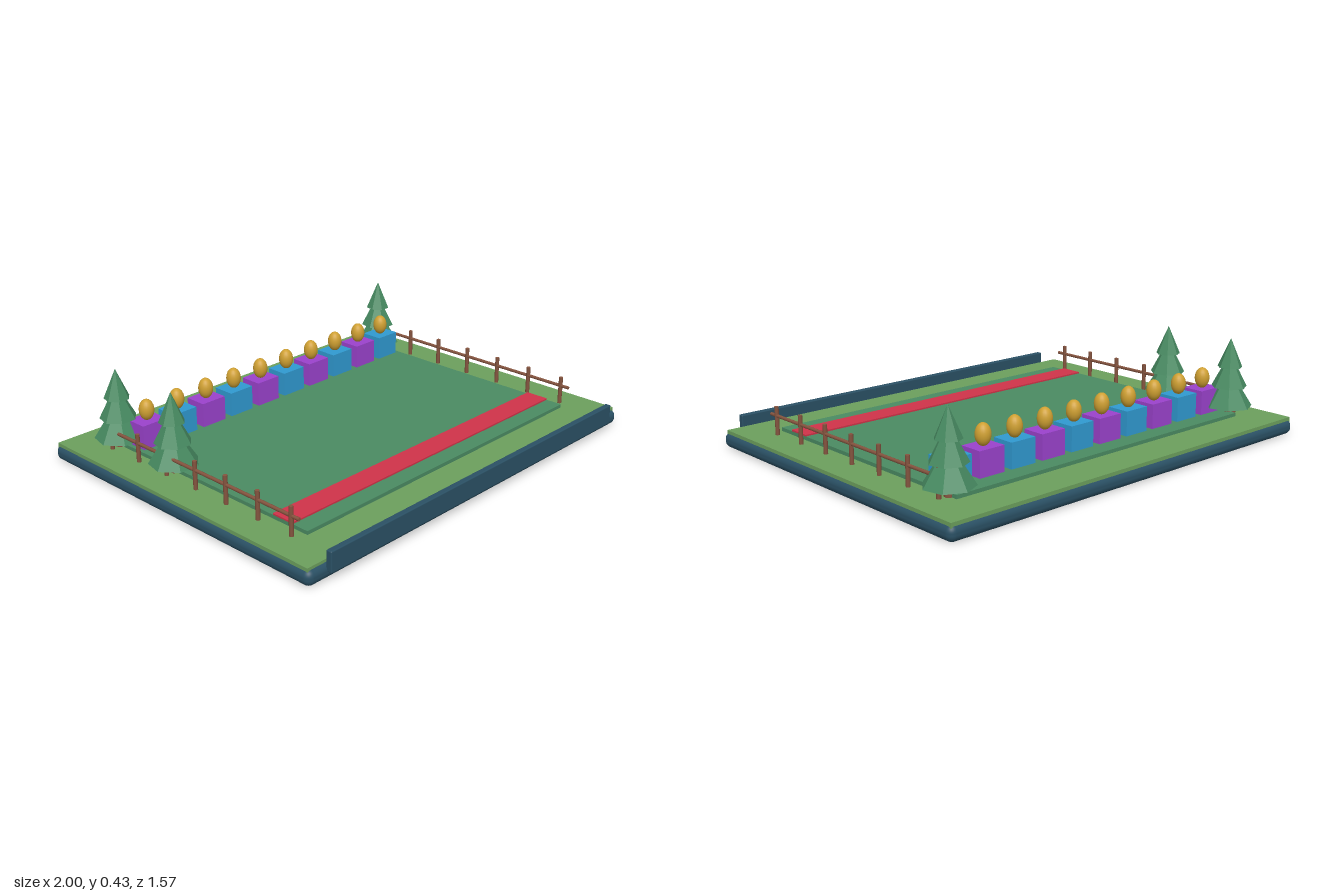
import * as THREE from 'three';
import { RoundedBoxGeometry } from 'three/addons/geometries/RoundedBoxGeometry.js';

function material(name, color, flatShading = false) {
  const m = new THREE.MeshStandardMaterial({ color, flatShading });
  m.name = name;
  return m;
}

export function createModel() {
  const group = new THREE.Group();
  const slate = material('slate', 0x2a5064);
  const grass = material('grass', 0x6c9f5d);
  const turf = material('turf', 0x4a8a62);
  const red = material('red', 0xcf3349);
  const blue = material('blue', 0x3099d0);
  const purple = material('purple', 0x9a42cc);
  const gold = material('gold', 0xcfa032);
  const wood = material('wood', 0x85543f);
  const foliage = material('foliage', 0x478a61, true);

  const add = (name, geometry, mat, x, y, z, parent = group) => {
    const mesh = new THREE.Mesh(geometry, mat);
    mesh.name = name;
    mesh.position.set(x, y, z);
    parent.add(mesh);
    return mesh;
  };
  // box given by its bottom height and its top height
  const slab = (name, mat, w, d, y0, y1, x, z) =>
    add(name, new THREE.BoxGeometry(w, y1 - y0, d), mat, x, (y0 + y1) / 2, z);

  // Ground layers and front board
  add('base', new RoundedBoxGeometry(2, 0.068, 1.55, 4, 0.03), slate, 0, 0.034, -0.01);
  slab('lawn', grass, 1.975, 1.52, 0.05, 0.078, 0, -0.013);
  slab('field', turf, 1.636, 1.178, 0.07, 0.094, 0, -0.012);
  slab('startStrip', red, 1.636, 0.107, 0.093, 0.101, 0, 0.445);
  add('frontBoard', new RoundedBoxGeometry(1.81, 0.09, 0.027, 2, 0.005), slate, 0, 0.08, 0.772);

  // Row of alternating blocks, each carrying an egg
  const eggGeometry = new THREE.SphereGeometry(1, 20, 14).scale(0.033, 0.047, 0.033);
  for (let i = 0; i < 10; i++) {
    const x = (i - 4.5) * 0.1636;
    slab('block', i % 2 ? blue : purple, 0.125, 0.105, 0.09, 0.203, x, -0.467);
    add('egg', eggGeometry, gold, x, 0.247, -0.467);
  }

  // Fences along both sides
  const postGeometry = new THREE.CylinderGeometry(0.0095, 0.0095, 0.13, 8);
  const railGeometry = new THREE.CylinderGeometry(0.0075, 0.0075, 1.085, 8).rotateX(Math.PI / 2);
  for (const side of [-1, 1]) {
    const fence = new THREE.Group();
    fence.name = side < 0 ? 'rightFence' : 'leftFence';
    group.add(fence);
    add('rail', railGeometry, wood, side * 0.863, 0.163, 0.04, fence);
    for (let i = 0; i < 7; i++) {
      add('post', postGeometry, wood, side * 0.863, 0.139, 0.539 - i * 0.182, fence);
    }
  }

  // Trees with three stacked cones: radius, bottom, top
  const tiers = [[0.107, 0.12, 0.29], [0.08, 0.21, 0.365], [0.056, 0.3, 0.43]];
  for (const [x, z] of [[-0.818, -0.557], [-0.818, -0.193], [0.818, -0.557]]) {
    const tree = new THREE.Group();
    tree.name = 'tree';
    tree.position.set(x, 0, z);
    group.add(tree);
    add('trunk', new THREE.CylinderGeometry(0.016, 0.02, 0.07, 7), wood, 0, 0.11, 0, tree);
    for (const [r, y0, y1] of tiers) {
      const cone = add('branches', new THREE.ConeGeometry(r, y1 - y0, 7), foliage, 0, (y0 + y1) / 2, 0, tree);
      cone.rotation.y = Math.PI;
    }
  }
  return group;
}
